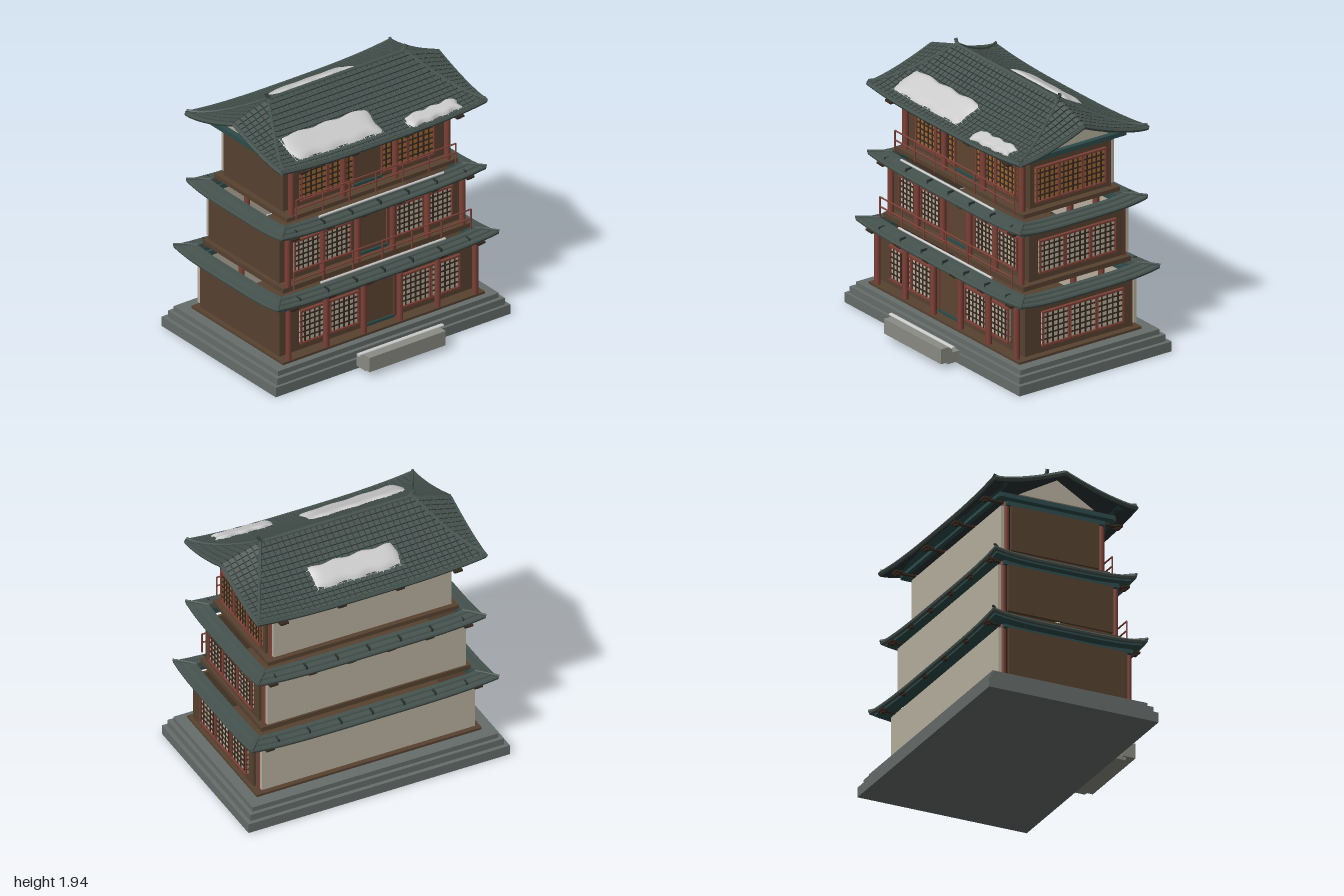
import * as THREE from 'three';
import { mergeGeometries } from 'three/addons/utils/BufferGeometryUtils.js';

const C = {
  stone: 0x666d6a, step: 0x8b8c84, brown: 0x574230, door: 0x5f4632, dark: 0x3a2b20, red: 0x7d4137,
  teal: 0x2d4b4b, tile: 0x46534f, tileDark: 0x2a3232, cream: 0xb9b1a0, amber: 0xa06a35, snow: 0xebebeb,
};
const mats = {};
const mat = (c, flat = true) => (mats[c + '' + flat] ??= new THREE.MeshStandardMaterial({ color: c, flatShading: flat, side: THREE.DoubleSide }));

function add(parent, name, geo, color, flat = true) {
  const m = new THREE.Mesh(geo, mat(color, flat));
  m.name = name;
  parent.add(m);
  return m;
}
const boxGeo = (x0, x1, y0, y1, z0, z1) =>
  new THREE.BoxGeometry(Math.abs(x1 - x0), Math.abs(y1 - y0), Math.abs(z1 - z0)).translate((x0 + x1) / 2, (y0 + y1) / 2, (z0 + z1) / 2);
const box = (p, name, color, ...b) => add(p, name, boxGeo(...b), color);
const rod = (r, len, axis) => {
  const g = new THREE.CylinderGeometry(r, r, len, 10);
  return axis === 'x' ? g.rotateZ(Math.PI / 2) : g;
};
const tube = (pts, r, n = 16) => new THREE.TubeGeometry(new THREE.CatmullRomCurve3(pts), n, r, 6);

// Grid surface: f(u, v) gives a point, u runs along x and v along z
function surface(nu, nv, f) {
  const g = new THREE.PlaneGeometry(1, 1, nu, nv), p = g.attributes.position;
  for (let i = 0; i < p.count; i++) p.setXYZ(i, ...f(p.getX(i) + 0.5, 0.5 - p.getY(i)));
  g.computeVertexNormals();
  return g;
}

// Ring of eaves around a rectangle; profile points are [outward 0..1, height]
function eaveRing(X, zf, zb, width, y, lift, profile) {
  const N = 16, cz = (zf + zb) / 2, hz = (zf - zb) / 2, path = [];
  const corners = [[-1, 1], [1, 1], [1, -1], [-1, -1]];
  corners.forEach((a, k) => {
    const b = corners[(k + 1) % 4];
    for (let i = 0; i < N; i++) {
      const t = i / N;
      path.push([a[0] + (b[0] - a[0]) * t, a[1] + (b[1] - a[1]) * t, Math.abs(2 * t - 1) ** 4]);
    }
  });
  const pos = [], idx = [], n = profile.length;
  for (const [sx, sz, e] of path)
    for (const [u, h] of profile) {
      const off = width * (1 - u);
      pos.push(sx * (X - off), y + h + lift * e * (0.4 + 0.6 * u), cz + sz * (hz - off));
    }
  for (let i = 0; i < path.length; i++)
    for (let j = 0; j < n; j++) {
      const i2 = (i + 1) % path.length, j2 = (j + 1) % n;
      const a = i * n + j, b = i2 * n + j, c = i2 * n + j2, d = i * n + j2;
      idx.push(a, d, b, b, d, c);
    }
  const g = new THREE.BufferGeometry();
  g.setAttribute('position', new THREE.Float32BufferAttribute(pos, 3));
  g.setIndex(idx);
  g.computeVertexNormals();
  return g;
}

// Lattice window facing +z, centred on its origin
function latticeWindow(w, h, panels, pane) {
  const g = new THREE.Group(), bars = [], frame = [], pw = w / panels;
  g.name = 'latticeWindow';
  box(g, 'pane', pane, -w / 2, w / 2, -h / 2, h / 2, 0, 0.008);
  for (let k = 0; k < panels; k++) {
    const x0 = -w / 2 + k * pw, n = Math.round(pw / 0.043);
    for (let i = 1; i < n; i++) {
      const x = x0 + (i * pw) / n;
      bars.push(boxGeo(x - 0.005, x + 0.005, -h / 2, h / 2, 0, 0.014));
    }
    for (const x of [x0 + 0.006, x0 + pw - 0.006]) frame.push(boxGeo(x - 0.005, x + 0.005, -h / 2, h / 2, 0, 0.022));
  }
  for (let j = 1; j < 6; j++) {
    const y = -h / 2 + (j * h) / 6;
    bars.push(boxGeo(-w / 2, w / 2, y - 0.005, y + 0.005, 0, 0.014));
  }
  for (const s of [-1, 1]) frame.push(boxGeo(-w / 2, w / 2, s * h / 2 - 0.007, s * h / 2 + 0.007, 0, 0.024));
  add(g, 'lattice', mergeGeometries(bars), C.dark);
  add(g, 'frame', mergeGeometries(frame), C.red);
  return g;
}

function storey(s) {
  const g = new THREE.Group();
  g.name = s.name;
  const { X, y, zf, zb } = s, w0 = y + 0.02, w1 = y + s.wallH, top = y + s.wallH + 0.035;
  box(g, 'floorSlab', C.brown, -s.slab[0], s.slab[0], s.slab[3], y, s.slab[2], s.slab[1]);
  box(g, 'frontWall', C.brown, -X, X, w0, w1, zf - 0.02, zf);
  for (const d of [-1, 1]) box(g, 'sideWall', C.brown, d * (X - 0.02), d * X, w0, w1, zb, zf);
  box(g, 'backPanel', C.cream, -X + 0.03, X - 0.03, w0, w1, zb - 0.065, zb - 0.04);
  // Door with its frame and sill
  box(g, 'door', C.door, -0.115, 0.115, y + 0.03, w1 - 0.03, zf, zf + 0.008);
  for (const d of [-1, 1]) box(g, 'doorJamb', C.red, d * 0.115, d * 0.125, y + 0.03, w1 - 0.02, zf, zf + 0.014);
  box(g, 'doorLintel', C.red, -0.125, 0.125, w1 - 0.03, w1 - 0.02, zf, zf + 0.014);
  box(g, 'doorSill', C.teal, -0.12, 0.12, y + 0.025, y + 0.045, zf, zf + 0.02);
  // Windows on the front and on the left side
  const [a, b] = s.winX, [h0, h1] = s.winY, [c, d] = s.sideZ;
  for (const m of [-1, 1]) {
    const w = latticeWindow(b - a, h1 - h0, 2, s.pane);
    w.position.set((m * (a + b)) / 2, (h0 + h1) / 2, zf);
    g.add(w);
  }
  const sw = latticeWindow(c - d, h1 - h0, 3, s.pane);
  sw.rotation.y = Math.PI / 2;
  sw.position.set(X, (h0 + h1) / 2, (c + d) / 2);
  g.add(sw);
  // Columns with eave brackets, and tie beams over them
  for (const x of s.cols)
    for (const [z, bz] of [[zf + 0.033, s.bracketZ[0]], [zb - 0.02, s.bracketZ[1]]]) {
      add(g, 'column', rod(0.023, top - y, 'y').translate(x, (y + top) / 2, z), C.red, false);
      const out = Math.sign(bz - z);
      box(g, 'bracketArm', C.dark, x - 0.012, x + 0.012, top - 0.012, top + 0.004, z, bz);
      box(g, 'bracketBlock', C.dark, x - 0.032, x + 0.032, top - 0.012, top + 0.002, bz - 0.025, bz + 0.025);
      box(g, 'bracketFoot', C.dark, x - 0.018, x + 0.018, top - 0.024, top - 0.012, bz - 0.012 * out, bz + 0.012 * out);
    }
  for (const z of [zf + 0.033, zb - 0.02]) box(g, 'tieBeam', C.teal, -X, X, w1, top, z - 0.012, z + 0.012);
  for (const m of [-1, 1]) box(g, 'sideTieBeam', C.teal, m * (X - 0.03), m * X, w1, top, zb - 0.03, zf + 0.04);
  // Balcony railing and the strip of snow beside it
  if (s.rail) {
    const { X: rx, z, snowZ } = s.rail, bars = [];
    for (const h of [0.145, 0.075]) bars.push(rod(0.006, 2 * rx, 'x').translate(0, y + h, z));
    for (let i = 0; i <= 6; i++) bars.push(rod(0.006, 0.15, 'y').translate(-rx + (i * rx) / 3, y + 0.07, z));
    add(g, 'railing', mergeGeometries(bars), C.red, false);
    add(g, 'snowStrip', rod(0.009, 1.06, 'x').translate(0, y - 0.005, snowZ), C.snow, false);
  }
  return g;
}

// Lower eaves: stepped tiles, teal soffit, corner ridges and joint caps
function skirtRoof(X, zf, zb, y) {
  const g = new THREE.Group(), W = 0.12, lift = 0.032;
  g.name = 'skirtRoof';
  add(g, 'eaveTiles', eaveRing(X, zf, zb, W, y, lift,
    [[0, 0.035], [0.3, 0.034], [0.34, 0.022], [0.66, 0.018], [0.7, 0.006], [0.95, 0.006], [1, -0.004], [0.97, -0.018], [0, -0.01]]), C.tile);
  add(g, 'soffit', eaveRing(X - 0.03, zf - 0.03, zb + 0.03, W - 0.03, y - 0.015, lift * 0.8,
    [[0, 0.01], [1, 0.005], [1, -0.014], [0, -0.014]]), C.teal);
  for (const sx of [-1, 1])
    for (const [z, d] of [[zf, 1], [zb, -1]])
      add(g, 'cornerRidge', tube([[W, 0.04], [W / 2, 0.04], [0, 0.035]].map(([o, h]) =>
        new THREE.Vector3(sx * (X - o), y + h + 0.005, z - d * o)), 0.01, 6), C.tile);
  const caps = [];
  for (let i = -3; i <= 3; i++)
    for (const [z, d] of [[zf, 1], [zb, -1]])
      caps.push(boxGeo(i * 0.24 - 0.006, i * 0.24 + 0.006, y, y + 0.034, z - d * 0.1, z - d * 0.035));
  add(g, 'tileJoints', mergeGeometries(caps), C.tileDark);
  return g;
}

// Height of the main roof: concave slopes whose ends sink beyond the hip lines
const RX = 0.87, RZ = -0.08, RD = 0.54;
function roofY(x, z) {
  const t = Math.min(1, Math.abs(z - RZ) / RD), ax = Math.abs(x), hip = 0.58 + 0.29 * t;
  const k = ax > hip ? 1 - (0.32 * (ax - hip)) / (RX - hip + 1e-6) : 1;
  return 1.61 + 0.04 * (ax / RX) ** 3 * t + 0.275 * (1 - t) ** 1.4 * k;
}
const onRoof = (x, z, h = 0) => new THREE.Vector3(x, roofY(x, z) + h, z);

function mainRoof() {
  const g = new THREE.Group();
  g.name = 'mainRoof';
  const sheet = (h) => surface(40, 30, (u, v) => onRoof((2 * u - 1) * RX, RZ + (2 * v - 1) * RD, h).toArray());
  add(g, 'roofBed', sheet(0), C.tileDark);
  add(g, 'roofUnderside', sheet(-0.025), C.tileDark);
  // Individual tiles laid along the slopes
  const tiles = [], cols = 39, rows = 15, e = 0.004;
  for (const s of [-1, 1])
    for (let i = 0; i < cols; i++)
      for (let j = 0; j < rows; j++) {
        const x = -RX + ((i + 0.5) * 2 * RX) / cols, z = RZ + (s * RD * (j + 0.5)) / rows;
        const ex = new THREE.Vector3(2 * e, roofY(x + e, z) - roofY(x - e, z), 0).normalize();
        const ez = new THREE.Vector3(0, (roofY(x, z + e) - roofY(x, z - e)) / (2 * e), 1), len = ez.length();
        const n = ez.cross(ex).normalize();
        const m = new THREE.Matrix4().makeBasis(ex, n, ex.clone().cross(n)).setPosition(onRoof(x, z, 0.006));
        tiles.push(new THREE.BoxGeometry(0.036, 0.016, 0.03 * len).applyMatrix4(m));
      }
  add(g, 'roofTiles', mergeGeometries(tiles), C.tile);
  // Ridge, hips, verges and eave edges
  const line = (f, n = 12) => Array.from({ length: n + 1 }, (_, i) => f(i / n));
  add(g, 'ridge', rod(0.016, 1.18, 'x').translate(0, 1.89, RZ), C.tile);
  for (const sx of [-1, 1]) {
    add(g, 'ridgeHorn', tube([[0.55, 1.89], [0.58, 1.905], [0.595, 1.935]].map(([x, y]) => new THREE.Vector3(sx * x, y, RZ)), 0.014, 6), C.tile);
    for (const sz of [-1, 1]) {
      add(g, 'hip', tube(line((t) => onRoof(sx * (0.58 + 0.285 * t), RZ + sz * RD * t, 0.016)), 0.011), C.tile);
      add(g, 'verge', tube(line((t) => onRoof(sx * RX, RZ + sz * RD * t, -0.006)), 0.017), C.tile);
    }
    const tri = new THREE.Shape([[-0.37, 1.625], [0.2, 1.625], [-0.08, 1.79]].map(([z, y]) => new THREE.Vector2(-z, y)));
    add(g, 'gablePanel', new THREE.ExtrudeGeometry(tri, { depth: 0.015, bevelEnabled: false }).rotateY(Math.PI / 2).translate(sx * 0.74, 0, 0), C.cream);
    box(g, 'gableBeam', C.teal, sx * 0.7, sx * 0.76, 1.575, 1.607, -0.52, 0.355);
  }
  for (const sz of [-1, 1]) {
    const z = RZ + sz * RD;
    add(g, 'eaveEdge', tube(line((t) => onRoof((2 * t - 1) * RX, z, -0.004)), 0.016, 24), C.tile);
    add(g, 'eaveBoard', surface(24, 1, (u, v) => onRoof((2 * u - 1) * 0.85, z - sz * (0.01 + 0.12 * v), -0.024 - 0.03 * v * (1 - Math.abs(2 * u - 1))).toArray()), C.teal);
    box(g, 'eaveBeam', C.teal, -0.74, 0.74, 1.575, 1.6, z - sz * 0.09, z - sz * 0.12);
  }
  // Snow patches lying on the tiles
  for (const [x0, x1, z0, z1] of [[-0.7, 0.06, 0.175, 0.395], [0.245, 0.69, 0.335, 0.445], [-0.32, 0.35, -0.48, -0.31]])
    add(g, 'snowPatch', surface(40, 14, (u, v) => {
      const x = x0 + (x1 - x0) * u + 0.006 * Math.sin(v * 9), z = z0 + (z1 - z0) * v + 0.006 * Math.sin(u * 21);
      const puff = (1 - Math.abs(2 * u - 1) ** 10) * (1 - Math.abs(2 * v - 1) ** 6);
      return [x, roofY(x, z) + 0.004 + 0.034 * puff, z];
    }), C.snow, false);
  return g;
}

export function createModel() {
  const g = new THREE.Group();
  g.name = 'threeStoreyHall';
  // Stone terrace and entrance steps
  box(g, 'terraceLower', C.stone, -1, 1, 0, 0.072, -0.727, 0.563);
  box(g, 'terraceMiddle', C.stone, -0.97, 0.97, 0.072, 0.122, -0.697, 0.54);
  box(g, 'terraceUpper', C.stone, -0.94, 0.94, 0.122, 0.158, -0.67, 0.51);
  box(g, 'stepInner', C.step, -0.31, 0.31, 0.022, 0.1, 0.56, 0.66);
  box(g, 'stepOuter', C.step, -0.325, 0.325, 0.045, 0.155, 0.628, 0.727);
  add(g, 'stepSnow', new THREE.CylinderGeometry(0.017, 0.017, 0.72, 10).rotateZ(Math.PI / 2).scale(1, 0.6, 1).translate(0, 0.156, 0.645), C.snow, false);

  const mirror = (a) => [...a.map((x) => -x), ...a];
  g.add(storey({ name: 'groundStorey', X: 0.845, y: 0.175, wallH: 0.38, zf: 0.402, zb: -0.5, slab: [0.86, 0.46, -0.577, 0.158],
    cols: mirror([0.155, 0.475, 0.795]), winX: [0.18, 0.68], winY: [0.25, 0.495], sideZ: [0.265, -0.425], pane: C.cream, bracketZ: [0.485, -0.635] }));
  g.add(storey({ name: 'middleStorey', X: 0.79, y: 0.69, wallH: 0.365, zf: 0.325, zb: -0.475, slab: [0.8, 0.38, -0.53, 0.655],
    cols: mirror([0.15, 0.447, 0.745]), winX: [0.185, 0.675], winY: [0.765, 1], sideZ: [0.25, -0.4], pane: C.cream, bracketZ: [0.43, -0.59],
    rail: { X: 0.755, z: 0.443, snowZ: 0.45 } }));
  g.add(storey({ name: 'upperStorey', X: 0.71, y: 1.19, wallH: 0.355, zf: 0.26, zb: -0.412, slab: [0.73, 0.33, -0.49, 1.16],
    cols: mirror([0.223, 0.665]), winX: [0.115, 0.57], winY: [1.255, 1.505], sideZ: [0.22, -0.375], pane: C.amber, bracketZ: [0.42, -0.59],
    rail: { X: 0.68, z: 0.37, snowZ: 0.43 } }));
  g.add(skirtRoof(0.945, 0.51, -0.67, 0.598), skirtRoof(0.873, 0.463, -0.62, 1.102), mainRoof());
  return g;
}
